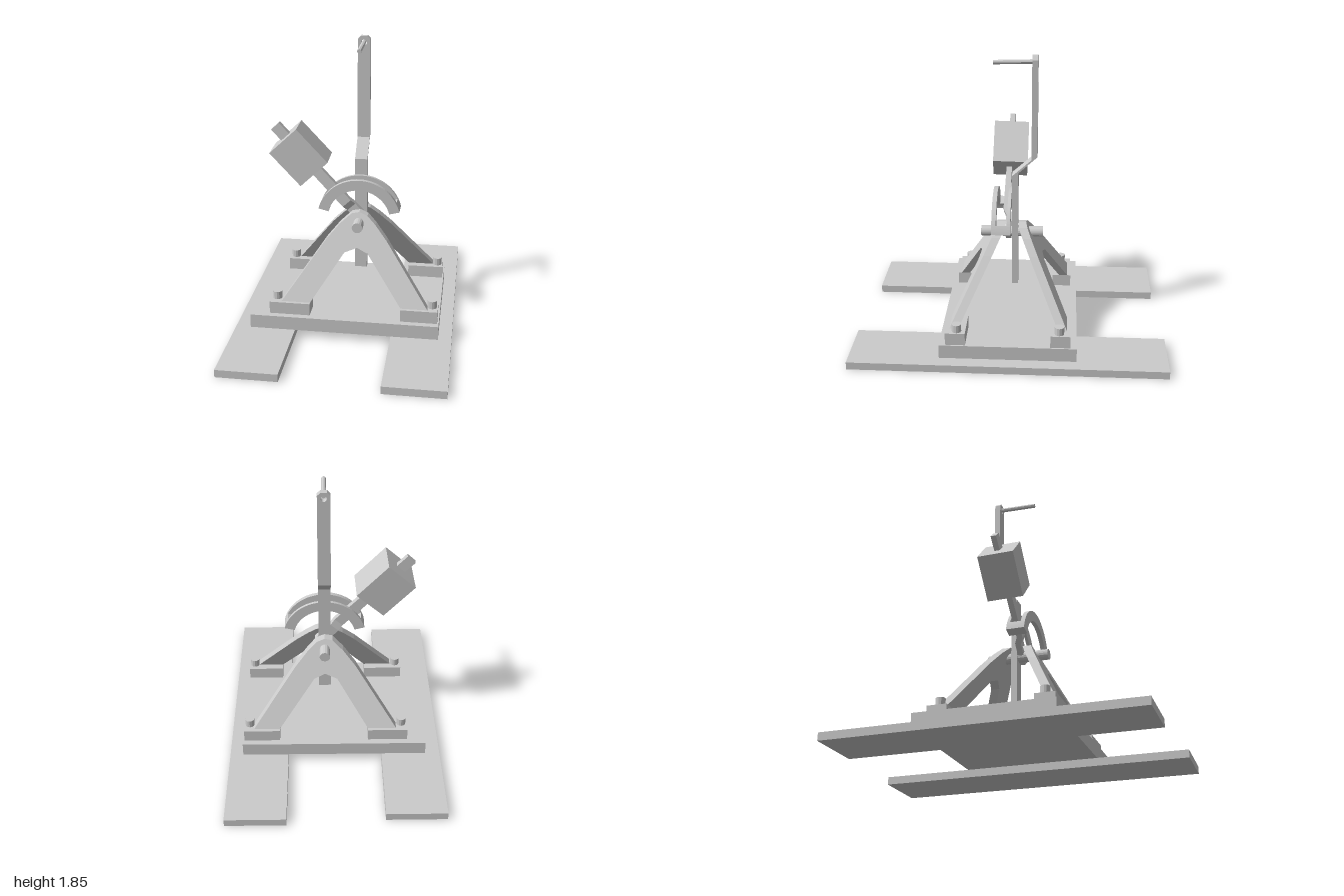
import * as THREE from 'three';

const material = new THREE.MeshStandardMaterial({ color: 0xcccccc, flatShading: true });

function add(parent, name, geometry, x = 0, y = 0, z = 0) {
  const mesh = new THREE.Mesh(geometry, material);
  mesh.name = name;
  mesh.position.set(x, y, z);
  parent.add(mesh);
  return mesh;
}

// Box given by its limits on each axis
function block(parent, name, [x0, x1], [y0, y1], [z0, z1]) {
  return add(parent, name, new THREE.BoxGeometry(x1 - x0, y1 - y0, z1 - z0),
    (x0 + x1) / 2, (y0 + y1) / 2, (z0 + z1) / 2);
}

const polygon = points => new THREE.Shape(points.map(p => new THREE.Vector2(...p)));

const extrude = (shape, depth) =>
  new THREE.ExtrudeGeometry(shape, { depth, bevelEnabled: false, curveSegments: 20 });

// Bent flat bar: a side outline in (z, y), extruded across x and centred on it
function bentBar(outline, width) {
  const g = extrude(polygon(outline), width);
  g.translate(0, 0, -width / 2);
  g.rotateY(-Math.PI / 2);
  return g;
}

// Rod running along z
function rod(radius, length, sides) {
  return new THREE.CylinderGeometry(radius, radius, length, sides).rotateX(Math.PI / 2);
}

// Arched leg panel leaning in toward the pivot
function legPanel(side) {
  const g = extrude(polygon([
    [-0.405, 0.22], [-0.22, 0.22], [-0.02, 0.515], [0.06, 0.545], [0.13, 0.515], [0.36, 0.22],
    [0.53, 0.22], [0.25, 0.59], [0.17, 0.68], [0.115, 0.73], [0.06, 0.75], [0.01, 0.74],
    [-0.06, 0.68], [-0.14, 0.59]
  ]), 0.056);
  g.translate(0, 0, -0.028);
  const p = g.attributes.position;
  for (let i = 0; i < p.count; i++) {
    p.setZ(i, p.getZ(i) + side * (0.34 - (p.getY(i) - 0.22) * 0.523));
  }
  g.computeVertexNormals();
  return g;
}

// Arc band between two angles
function arcBand(from, to, depth) {
  const s = new THREE.Shape();
  s.absarc(0, 0, 0.27, from, to, false);
  s.absarc(0, 0, 0.203, to, from, true);
  s.closePath();
  return extrude(s, depth);
}

export function createModel() {
  const model = new THREE.Group();
  model.name = 'counterweightLeverStand';
  const axisX = 0.06;

  // Ground planks and base plate
  block(model, 'leftPlank', [0.305, 0.69], [0, 0.05], [-1, 1]);
  block(model, 'rightPlank', [-0.695, -0.31], [0, 0.05], [-0.965, 0.96]);
  block(model, 'basePlate', [-0.6, 0.605], [0.05, 0.14], [-0.43, 0.43]);

  // Leg panels, feet and bolts, front and back
  for (const side of [1, -1]) {
    const support = new THREE.Group();
    support.name = side > 0 ? 'frontSupport' : 'backSupport';
    model.add(support);
    add(support, 'legPanel', legPanel(side));
    const zRange = side > 0 ? [0.265, 0.39] : [-0.39, -0.265];
    for (const [x0, x1, bolt] of [[-0.48, -0.22, -0.44], [0.36, 0.595, 0.558]]) {
      block(support, 'foot', [x0, x1], [0.14, 0.22], zRange);
      add(support, 'bolt', new THREE.CylinderGeometry(0.03, 0.03, 0.05, 12), bolt, 0.245, side * 0.32);
    }
  }

  // Pivot shaft
  add(model, 'pivotShaft', rod(0.034, 0.4, 16), axisX, 0.683, 0);

  // Cranked hand lever with a drilled, chamfered end
  const lever = new THREE.Group();
  lever.name = 'handLever';
  model.add(lever);
  add(lever, 'lowerLever', bentBar([
    [-0.04, 0.32], [0, 0.32], [0, 1.08], [-0.123, 1.19], [-0.123, 1.21], [-0.16, 1.21], [-0.04, 1.1]
  ], 0.08), axisX);
  const plate = polygon([
    [-0.04, 1.21], [0.04, 1.21], [0.04, 1.83], [0.02, 1.85], [-0.02, 1.85], [-0.04, 1.83]
  ]);
  const hole = new THREE.Path();
  hole.absarc(0, 1.81, 0.018, 0, Math.PI * 2, true);
  plate.holes.push(hole);
  add(lever, 'upperLever', extrude(plate, 0.037), axisX, 0, -0.16);
  add(lever, 'handle', rod(0.014, 0.25, 8), axisX, 1.809, -0.01).rotation.x = 0.03;

  // Guide arc: two curved plates joined by end blocks
  const guide = new THREE.Group();
  guide.name = 'guideArc';
  guide.position.set(axisX, 0.705, 0);
  model.add(guide);
  const a0 = 0.25, a1 = Math.PI - a0, span = 0.22;
  add(guide, 'frontArcPlate', arcBand(a0, a1, 0.028), 0, 0, 0.09);
  add(guide, 'backArcPlate', arcBand(a0, a1, 0.02), 0, 0, 0);
  add(guide, 'leftEndBlock', arcBand(a0, a0 + span, 0.07), 0, 0, 0.02);
  add(guide, 'rightEndBlock', arcBand(a1 - span, a1, 0.07), 0, 0, 0.02);

  // Weighted arm, with a small kink near the pivot
  const arm = new THREE.Group();
  arm.name = 'weightedArm';
  arm.position.set(0.097, 0.66, 0);
  arm.rotation.z = 0.75;
  model.add(arm);
  add(arm, 'armBar', bentBar([
    [0.04, 0], [0.04, 0.14], [0.06, 0.18], [0.04, 0.86], [0.005, 0.86], [0.022, 0.19], [0.003, 0.15], [0.003, 0]
  ], 0.07));
  add(arm, 'counterweight', new THREE.BoxGeometry(0.237, 0.29, 0.228), 0, 0.62, 0.028).rotation.y = 0.045;

  return model;
}
